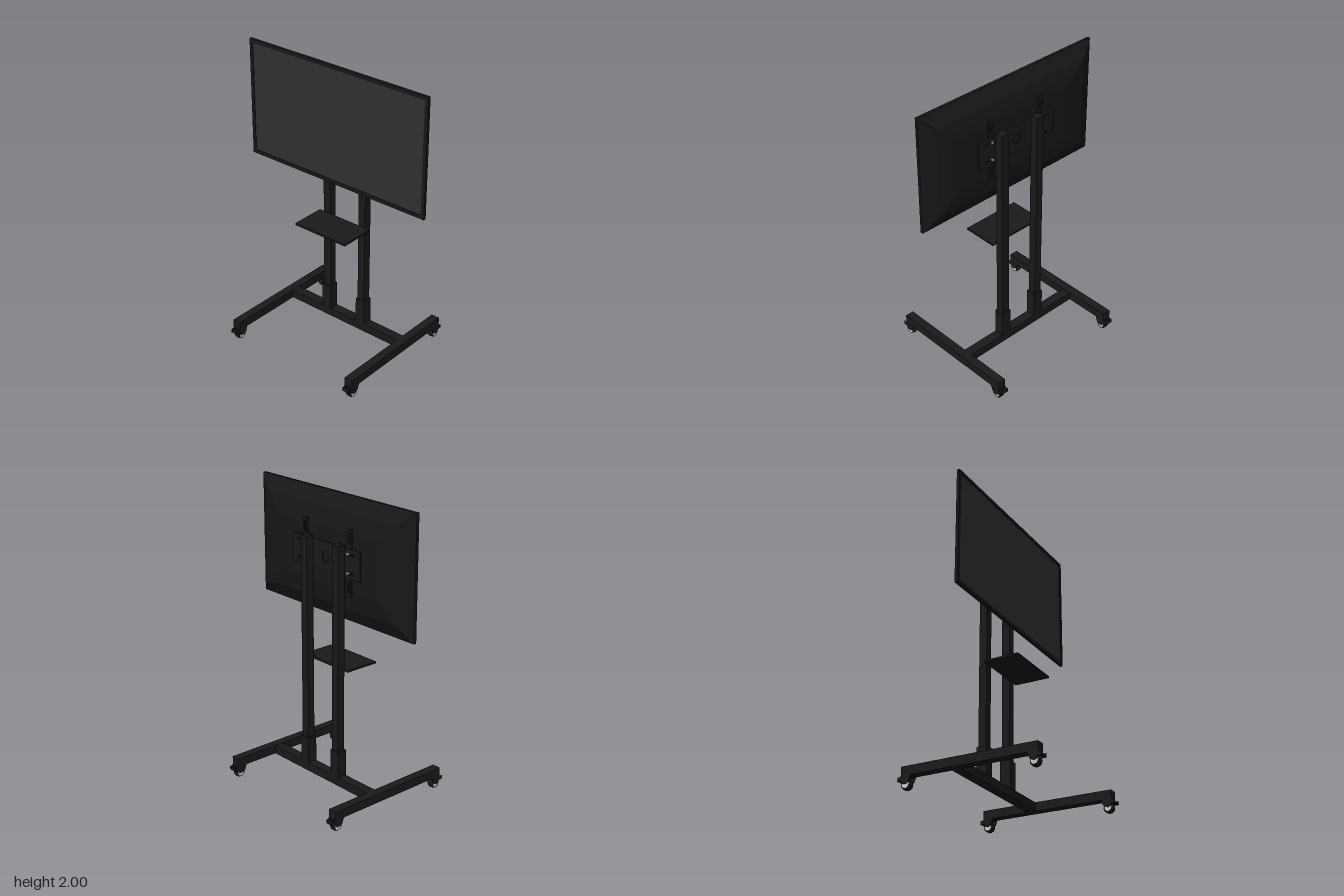
import * as THREE from 'three';

const black = new THREE.MeshStandardMaterial({ color: 0x1a1a1a });
const tvBlack = new THREE.MeshStandardMaterial({ color: 0x181818, flatShading: true });
const screenGrey = new THREE.MeshStandardMaterial({ color: 0x303030 });
const steel = new THREE.MeshStandardMaterial({ color: 0xcccccc });

function add(parent, name, geometry, material = black) {
  const mesh = new THREE.Mesh(geometry, material);
  mesh.name = name;
  parent.add(mesh);
  return mesh;
}

// box given by its limits on each axis
function box(parent, name, [x0, x1], [y0, y1], [z0, z1], material) {
  const mesh = add(parent, name, new THREE.BoxGeometry(x1 - x0, y1 - y0, z1 - z0), material);
  mesh.position.set((x0 + x1) / 2, (y0 + y1) / 2, (z0 + z1) / 2);
  return mesh;
}

// rounded slot or circle path for cutting holes
function slot(cx, cy, halfLength, r) {
  const p = new THREE.Path();
  p.absarc(cx + halfLength, cy, r, -Math.PI / 2, Math.PI / 2, false);
  p.absarc(cx - halfLength, cy, r, Math.PI / 2, Math.PI * 1.5, false);
  p.closePath();
  return p;
}

function rectangle(hw, hh) {
  return new THREE.Shape([[-hw, -hh], [hw, -hh], [hw, hh], [-hw, hh]].map(([x, y]) => new THREE.Vector2(x, y)));
}

// flat sheet standing across x, starting at the given x
function sheet(parent, name, shape, depth, x, y, z, material) {
  const geometry = new THREE.ExtrudeGeometry(shape, { depth, bevelEnabled: false, curveSegments: 12 });
  geometry.rotateY(Math.PI / 2);
  const mesh = add(parent, name, geometry, material);
  mesh.position.set(x, y, z);
  return mesh;
}

// back shell: rectangles [x, y0, y1, half width] joined along x, closed at the rear
function shellGeometry(sections) {
  const positions = [], index = [];
  for (const [x, y0, y1, h] of sections) positions.push(x, y0, -h, x, y0, h, x, y1, h, x, y1, -h);
  for (let s = 0; s < sections.length - 1; s++) {
    for (let i = 0; i < 4; i++) {
      const a = s * 4 + i, b = s * 4 + (i + 1) % 4;
      index.push(a, a + 4, b, b, a + 4, b + 4);
    }
  }
  const e = (sections.length - 1) * 4;
  index.push(e, e + 2, e + 1, e, e + 3, e + 2);
  const geometry = new THREE.BufferGeometry();
  geometry.setAttribute('position', new THREE.Float32BufferAttribute(positions, 3));
  geometry.setIndex(index);
  const flat = geometry.toNonIndexed();
  flat.computeVertexNormals();
  return flat;
}

function makeTelevision() {
  const tv = new THREE.Group();
  tv.name = 'television';
  const frame = rectangle(0.71, 0.405);
  frame.holes.push(rectangle(0.685, 0.38));
  sheet(tv, 'bezel', frame, 0.02, -0.02, 1.595, 0, tvBlack);
  box(tv, 'screen', [-0.016, -0.002], [1.215, 1.975], [-0.685, 0.685], screenGrey);
  add(tv, 'backShell', shellGeometry([
    [0, 1.19, 2, 0.71],
    [0.045, 1.285, 1.905, 0.61],
    [0.056, 1.35, 1.84, 0.53],
    [0.063, 1.41, 1.78, 0.46],
  ]), tvBlack);
  return tv;
}

function makeWallMount() {
  const mount = new THREE.Group();
  mount.name = 'screenMount';
  const plate = rectangle(0.315, 0.095);
  plate.holes.push(slot(0, 0, 0, 0.035));
  for (const s of [-1, 1]) for (const t of [-1, 1]) plate.holes.push(slot(s * 0.235, t * 0.062, 0.03, 0.007));
  sheet(mount, 'mountPlate', plate, 0.007, 0.072, 1.595, 0);
  // folded lips along the plate's long edges
  for (const y of [1.5, 1.684]) box(mount, 'plateLip', [0.064, 0.072], [y, y + 0.006], [-0.315, 0.315]);
  for (const s of [-1, 1]) {
    const arm = rectangle(0.021, 0.215);
    for (const t of [-1, 1]) {
      const cut = new THREE.Path();
      cut.setFromPoints([[-0.007, 0.12], [0.007, 0.12], [0.007, 0.19], [-0.007, 0.19]]
        .map(([x, y]) => new THREE.Vector2(x, y * t)));
      arm.holes.push(cut);
    }
    sheet(mount, 'mountArm', arm, 0.012, 0.059, 1.595, s * 0.207);
    for (const t of [-1, 1]) {
      const bolt = add(mount, 'bolt', new THREE.CylinderGeometry(0.007, 0.007, 0.02, 12), steel);
      bolt.rotation.z = Math.PI / 2;
      bolt.position.set(0.074, 1.595 + t * 0.062, s * 0.205);
    }
  }
  return mount;
}

// caster whose brake pedal points toward +x, origin on the floor
function makeCaster() {
  const caster = new THREE.Group();
  caster.name = 'caster';
  const tyreProfile = [[0.024, -0.023], [0.028, -0.023], [0.033, -0.014], [0.034, 0], [0.033, 0.014], [0.028, 0.023], [0.024, 0.023]]
    .map(([r, h]) => new THREE.Vector2(r, h));
  const tyre = add(caster, 'tyre', new THREE.LatheGeometry(tyreProfile, 28));
  const hub = add(caster, 'hub', new THREE.CylinderGeometry(0.026, 0.026, 0.045, 24), steel);
  for (const part of [tyre, hub]) {
    part.rotation.x = Math.PI / 2;
    part.position.y = 0.034;
  }
  // fork cheeks on both sides, reaching out to the pedal
  const cheek = new THREE.Shape([
    [-0.042, 0.086], [-0.03, 0.05], [-0.012, 0.036], [0.014, 0.036], [0.024, 0.055],
    [0.052, 0.055], [0.052, 0.08], [0.032, 0.08], [0.032, 0.086],
  ].map(([x, y]) => new THREE.Vector2(x, y)));
  const cheekGeometry = new THREE.ExtrudeGeometry(cheek, { depth: 0.005, bevelEnabled: false });
  for (const z of [-0.03, 0.025]) add(caster, 'forkCheek', cheekGeometry).position.z = z;
  box(caster, 'forkTop', [-0.04, 0.03], [0.078, 0.086], [-0.026, 0.026]);
  box(caster, 'brakePedal', [0.034, 0.052], [0.056, 0.064], [-0.026, 0.026]);
  const axle = add(caster, 'axle', new THREE.CylinderGeometry(0.006, 0.006, 0.056, 12));
  axle.rotation.x = Math.PI / 2;
  axle.position.y = 0.04;
  return caster;
}

export function createModel() {
  const model = new THREE.Group();
  model.name = 'televisionStand';
  model.add(makeTelevision(), makeWallMount());

  // rolling base
  box(model, 'crossBeam', [0.073, 0.14], [0.085, 0.143], [-0.466, 0.466]);
  for (const s of [-1, 1]) {
    const z = s * 0.494;
    box(model, 'footBeam', [-0.462, 0.462], [0.085, 0.145], [z - 0.03, z + 0.03]);
    for (const end of [-1, 1]) {
      const caster = makeCaster();
      caster.position.set(end * 0.434, 0, z);
      if (end < 0) caster.rotation.y = Math.PI;
      model.add(caster);
    }
  }

  // uprights in their sockets
  for (const s of [-1, 1]) {
    const z = s * 0.148;
    box(model, 'upright', [0.079, 0.133], [0.14, 1.71], [z - 0.028, z + 0.028]);
    box(model, 'uprightSocket', [0.07, 0.14], [0.14, 0.325], [z - 0.036, z + 0.036]);
  }

  box(model, 'shelf', [-0.165, 0.08], [0.876, 0.889], [-0.21, 0.21]);
  return model;
}
